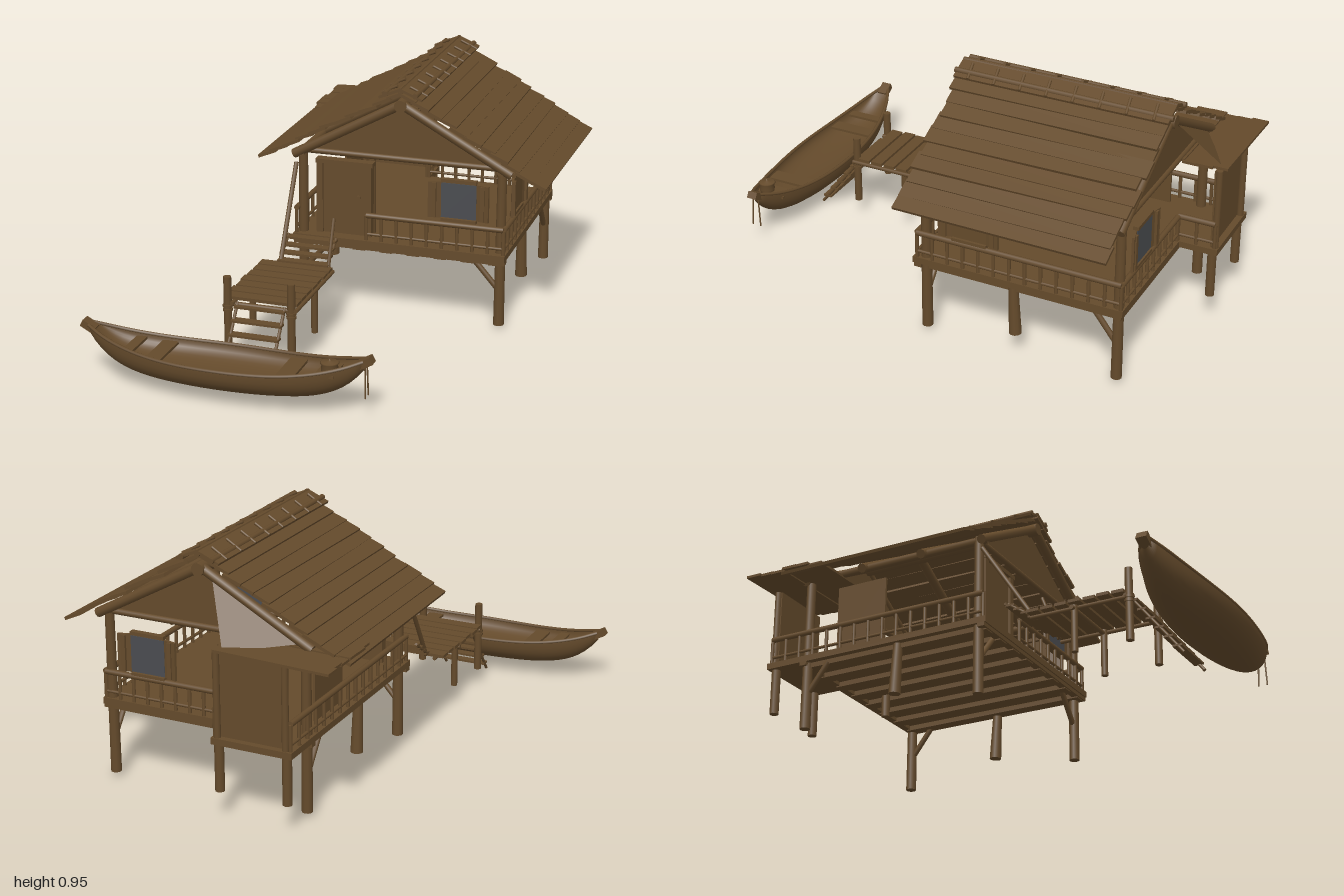
import * as THREE from 'three';
import { ParametricGeometry } from 'three/addons/geometries/ParametricGeometry.js';

const wood = new THREE.MeshStandardMaterial({ color: 0x644a2b, side: THREE.DoubleSide });
wood.name = 'wood';
const glass = new THREE.MeshStandardMaterial({ color: 0x4a4c50 });
glass.name = 'window grey';

let seed = 7;
const rnd = () => { seed = (seed * 16807) % 2147483647; return seed / 2147483647 - 0.5; };
const V = (x, y, z) => new THREE.Vector3(x, y, z);

export function createModel() {
  const model = new THREE.Group();
  let part = model;
  const begin = (name) => { part = new THREE.Group(); part.name = name; model.add(part); };
  const add = (name, geo, mat = wood) => {
    const m = new THREE.Mesh(geo, mat);
    m.name = name;
    part.add(m);
    return m;
  };
  // Box given by its limits on each axis
  const box = (name, x0, x1, y0, y1, z0, z1, mat) => {
    const m = add(name, new THREE.BoxGeometry(x1 - x0, y1 - y0, z1 - z0), mat);
    m.position.set((x0 + x1) / 2, (y0 + y1) / 2, (z0 + z1) / 2);
    return m;
  };
  // Round pole between two points
  const pole = (name, a, b, r, r2 = r) => {
    const d = b.clone().sub(a);
    const m = add(name, new THREE.CylinderGeometry(r2, r, d.length(), 10));
    m.position.copy(a).addScaledVector(d, 0.5);
    m.quaternion.setFromUnitVectors(V(0, 1, 0), d.normalize());
    return m;
  };
  const face = (name, pts) => {
    const g = new THREE.BufferGeometry().setFromPoints(pts);
    g.computeVertexNormals();
    return add(name, g);
  };

  // Deck and joists, with a small extension at the back
  begin('deck');
  box('floor', -0.27, 0.59, 0.295, 0.32, -0.84, 0);
  box('backFloor', -0.27, 0.05, 0.295, 0.32, -0.99, -0.84);
  for (const z of [-0.02, -0.82]) box('crossBeam', -0.27, 0.59, 0.28, 0.297, z - 0.015, z + 0.015);
  for (let i = 0; i < 8; i++) {
    const x = -0.22 + i * 0.11;
    box('joist', x - 0.025, x + 0.025, 0.275, 0.296, -0.82, -0.01);
  }

  // Stilts, tall corner posts and braces
  begin('posts');
  for (const x of [-0.24, 0.563]) {
    for (const z of [-0.045, -0.815]) pole('cornerPost', V(x, 0.02, z), V(x, 0.67, z), 0.021, 0.018);
    pole('middleLeg', V(x, 0.09, -0.41), V(x, 0.3, -0.4), 0.024, 0.018);
    const s = x < 0 ? 1 : -1;
    pole('brace', V(x, 0.16, -0.045), V(x + s * 0.11, 0.285, -0.045), 0.011);
    pole('sideBrace', V(x, 0.16, -0.815), V(x, 0.285, -0.72), 0.011);
  }
  pole('innerLeg', V(0.16, 0.19, -0.7), V(0.16, 0.3, -0.7), 0.017);
  for (const x of [-0.24, 0.03]) {
    pole('backLeg', V(x, 0.11, -0.965), V(x, 0.3, -0.965), 0.018);
    pole('backPost', V(x, 0.3, -0.975), V(x, 0.645, -0.975), 0.013);
  }

  // Railings round the deck
  begin('railings');
  const railing = (a, b) => {
    const n = Math.max(1, Math.round(a.distanceTo(b) / 0.062));
    const up = (p, y) => V(p.x, y, p.z);
    pole('topRail', up(a, 0.422), up(b, 0.422), 0.011);
    pole('lowRail', up(a, 0.345), up(b, 0.345), 0.006);
    for (let i = 0; i <= n; i++) {
      const p = a.clone().lerp(b, i / n);
      pole('baluster', up(p, 0.31), up(p, 0.42), 0.007);
    }
  };
  railing(V(0.03, 0, -0.015), V(0.58, 0, -0.015));
  railing(V(0.582, 0, -0.015), V(0.582, 0, -0.83));
  railing(V(0.05, 0, -0.83), V(0.58, 0, -0.83));
  railing(V(0.04, 0, -0.83), V(0.04, 0, -0.975));
  railing(V(-0.26, 0, -0.015), V(-0.26, 0, -0.975));

  // Front door with frame
  begin('door');
  box('doorLeaf', -0.165, 0.025, 0.32, 0.61, -0.07, -0.055);
  for (const x of [-0.175, 0.025]) box('doorJamb', x - 0.012, x + 0.014, 0.32, 0.625, -0.08, -0.045);
  box('doorLintel', -0.19, 0.045, 0.608, 0.625, -0.082, -0.043);
  box('doorHandle', -0.02, -0.005, 0.475, 0.485, -0.055, -0.045);
  pole('innerPost', V(0.025, 0.32, -0.1), V(0.025, 0.655, -0.1), 0.016);

  // Wall panels of the small back room
  begin('backRoom');
  box('sideWall', -0.215, -0.205, 0.32, 0.61, -0.7, -0.48);
  box('backWall', -0.24, 0.035, 0.32, 0.64, -0.965, -0.957);

  // Windows with open shutters, built facing +z
  const windowAt = (name, x, y, z, turn, w, paned) => {
    begin(name);
    const h = 0.08, d = 0.008;
    if (paned) box('pane', -w, w, -h + 0.01, h - 0.01, 0.002, 0.009, glass);
    else box('closedPanel', -w, w, -h + 0.01, h - 0.01, 0, d);
    for (const s of [-1, 1]) {
      box('frameBar', -w, w, s * h - 0.007, s * h + 0.007, -0.008, 0.014);
      const sh = box('shutter', s < 0 ? -w - 0.052 : w, s < 0 ? -w : w + 0.052, -h + 0.007, h - 0.007, 0.004, 0.014);
      sh.rotation.y = -s * 0.25;
      box('shutterBatten', s * (w + 0.026) - 0.008, s * (w + 0.026) + 0.008, -h + 0.01, h - 0.01, 0.012, 0.022);
    }
    part.position.set(x, y, z);
    part.rotation.y = turn;
  };
  windowAt('frontWindow', 0.395, 0.512, -0.045, 0, 0.07, true);
  windowAt('backWindow', 0.395, 0.512, -0.825, Math.PI, 0.07, true);
  windowAt('sideWindow', 0.575, 0.515, -0.23, Math.PI / 2, 0.07, false);

  // Roof frame, gables and rafters
  begin('roofFrame');
  for (const z of [-0.045, -0.815]) {
    face('gable', [V(-0.24, 0.655, z), V(0.57, 0.655, z), V(0.168, 0.88, z)]);
    pole('tieBeam', V(-0.25, 0.658, z), V(0.58, 0.658, z), 0.012);
  }
  for (const z of [-0.02, -0.29, -0.56, -0.825]) {
    pole('rafter', V(-0.27, 0.645, z), V(0.168, 0.885, z), 0.019);
    pole('rafter', V(0.605, 0.645, z), V(0.168, 0.885, z), 0.019);
  }
  for (const x of [-0.24, 0.565]) pole('wallPlate', V(x, 0.655, -0.01), V(x, 0.655, -0.83), 0.016);
  pole('ridgeBeam', V(0.168, 0.88, 0), V(0.168, 0.88, -0.85), 0.025);

  // Overlapping long strips cover each slope, with uneven ends
  begin('roofCover');
  const slope = (foot, footY) => {
    const n = 11, s = Math.sign(foot - 0.168);
    const run = Math.abs(foot - 0.168), drop = 0.93 - footY, len = Math.hypot(run, drop);
    for (let i = 0; i < n; i++) {
      const t = (i + 0.5) / n, z0 = -0.005 + rnd() * 0.018, z1 = -0.84 + rnd() * 0.025;
      const m = box('roofStrip', -len / n * 0.64, len / n * 0.64, -0.006, 0.006, z1, z0);
      m.position.x = 0.168 + s * run * t;
      m.position.y = 0.93 - drop * t + rnd() * 0.006;
      m.rotation.set(rnd() * 0.012, rnd() * 0.02, -s * (Math.atan2(drop, run) - 0.1 + rnd() * 0.08));
    }
  };
  slope(-0.41, 0.62);
  slope(0.735, 0.605);

  // Ridge cap tied with short sticks
  begin('ridge');
  for (const s of [-1, 1]) {
    const cap = box('ridgeCap', -0.05, 0.05, -0.005, 0.005, -0.425, 0.425);
    cap.position.set(0.168 + s * 0.04, 0.93, -0.425);
    cap.rotation.z = -s * 0.4;
    pole('ridgePole', V(0.168 + s * 0.06, 0.927, 0.005), V(0.168 + s * 0.06, 0.922, -0.86), 0.011);
    for (let i = 0; i < 8; i++) {
      const z = -0.06 - i * 0.105;
      pole('ridgeTie', V(0.168 + s * 0.09, 0.915, z), V(0.168 + s * 0.025, 0.948, z + 0.01), 0.006);
    }
  }
  pole('ridgeTop', V(0.168, 0.942, 0), V(0.168, 0.938, -0.85), 0.011);

  // Low roof over the back room, with a sloping filler up to the gable
  begin('backRoof');
  for (let i = 0; i < 6; i++) {
    const z = -0.972 + i * 0.056;
    const m = box('backRoofStrip', -0.225, 0.225, -0.005, 0.005, -0.032, 0.032);
    m.position.set(-0.19 + rnd() * 0.015, 0.645 + rnd() * 0.006, z);
    m.rotation.z = 0.03;
  }
  face('gableFiller', [V(0.12, 0.85, -0.83), V(0.0, 0.645, -0.98), V(-0.22, 0.66, -0.83)]);

  // Landing stage on posts
  begin('landing');
  for (let i = 0; i < 7; i++) {
    const z = 0.226 + i * 0.0575;
    box('plank', -0.327 + rnd() * 0.008, -0.04 + rnd() * 0.008, 0.264, 0.276, z - 0.024, z + 0.024);
  }
  for (const x of [-0.306, -0.056]) {
    pole('mooringPost', V(x, 0.075, 0.61), V(x, 0.36, 0.61), 0.015);
    for (const y of [0.225, 0.24]) pole('postBinding', V(x, y, 0.61), V(x, y + 0.009, 0.61), 0.019);
    pole('landingPost', V(x + 0.01, 0.08, 0.385), V(x + 0.01, 0.265, 0.385), 0.013);
    pole('bearer', V(x + 0.02, 0.258, 0.2), V(x + 0.02, 0.258, 0.62), 0.008);
  }
  for (const z of [0.385, 0.6]) pole('crossBearer', V(-0.32, 0.25, z), V(-0.045, 0.25, z), 0.009);

  // Lower ladder to the water and upper steps to the deck
  const ladder = (name, a, b, x0, x1, n) => {
    begin(name);
    for (const x of [x0, x1]) pole('stringer', V(x, a.y, a.z), V(x, b.y, b.z), 0.006);
    for (let i = 0; i < n; i++) {
      const p = a.clone().lerp(b, (i + 0.7) / n);
      box('tread', x0 - 0.006, x1 + 0.006, p.y - 0.004, p.y + 0.004, p.z - 0.018, p.z + 0.018);
    }
  };
  ladder('lowerLadder', V(0, 0.005, 0.8), V(0, 0.26, 0.6), -0.27, -0.085, 6);
  ladder('upperSteps', V(0, 0.265, 0.215), V(0, 0.35, 0.09), -0.255, -0.06, 4);
  pole('handrail', V(-0.25, 0.27, 0.2), V(-0.26, 0.61, -0.02), 0.009);
  pole('stepPost', V(-0.055, 0.265, 0.2), V(-0.055, 0.45, 0.13), 0.007);

  // Boat: hull lofted along x from rounded sections
  begin('boat');
  const cx = -0.215, half = 0.525, cz = 0.87;
  const wide = (u) => 0.018 + 0.108 * Math.pow(Math.max(0, 1 - u * u), 0.85);
  const sheer = (u) => 0.155 + 0.065 * Math.pow(Math.abs(u), 3);
  const keel = (u) => 0.045 + 0.03 * u * u + 0.11 * Math.pow(u, 6);
  const shell = (name, k, lift) => add(name, new ParametricGeometry((p, q, out) => {
    const u = p * 2 - 1, a = (q - 0.5) * Math.PI;
    const low = Math.min(keel(u) + lift, sheer(u));
    const c = Math.pow(Math.max(0, Math.cos(a)), 0.8);
    out.set(cx + u * half, sheer(u) - (sheer(u) - low) * c, cz + k * wide(u) * Math.sin(a));
  }, 40, 16));
  shell('hull', 1, 0);
  shell('hullLining', 0.94, 0.05);
  for (const s of [-1, 1]) {
    const pts = [];
    for (let i = 0; i <= 16; i++) {
      const u = i / 8 - 1;
      pts.push(V(cx + u * half, sheer(u), cz + s * wide(u) * 0.97));
    }
    add('gunwale', new THREE.TubeGeometry(new THREE.CatmullRomCurve3(pts), 40, 0.007, 6));
    const u = s * half, end = box('endBlock', -0.028, 0.028, -0.014, 0.014, -0.02, 0.02);
    end.position.set(cx + u + s * 0.004, 0.213, cz);
    end.rotation.z = s * 0.5;
  }
  for (const [x, w] of [[-0.57, 0.04], [-0.465, 0.06], [0.035, 0.065], [0.18, 0.07]]) {
    const u = (x - cx) / half, b = wide(u) * 0.9;
    box('seat', x - w / 2, x + w / 2, sheer(u) - 0.022, sheer(u) - 0.012, cz - b, cz + b);
  }
  // Cooking pot and mooring rope
  const pot = add('pot', new THREE.LatheGeometry([[0, 0], [0.026, 0], [0.031, 0.03], [0.029, 0.05],
    [0.035, 0.055], [0.031, 0.058], [0.006, 0.062], [0, 0.07]].map(([x, y]) => new THREE.Vector2(x, y)), 20));
  pot.position.set(0.19, 0.15, 0.895);
  for (const dz of [-0.012, 0.01]) pole('rope', V(0.318, 0.08, cz + dz * 1.6), V(0.315, 0.215, cz + dz), 0.003);

  return model;
}
